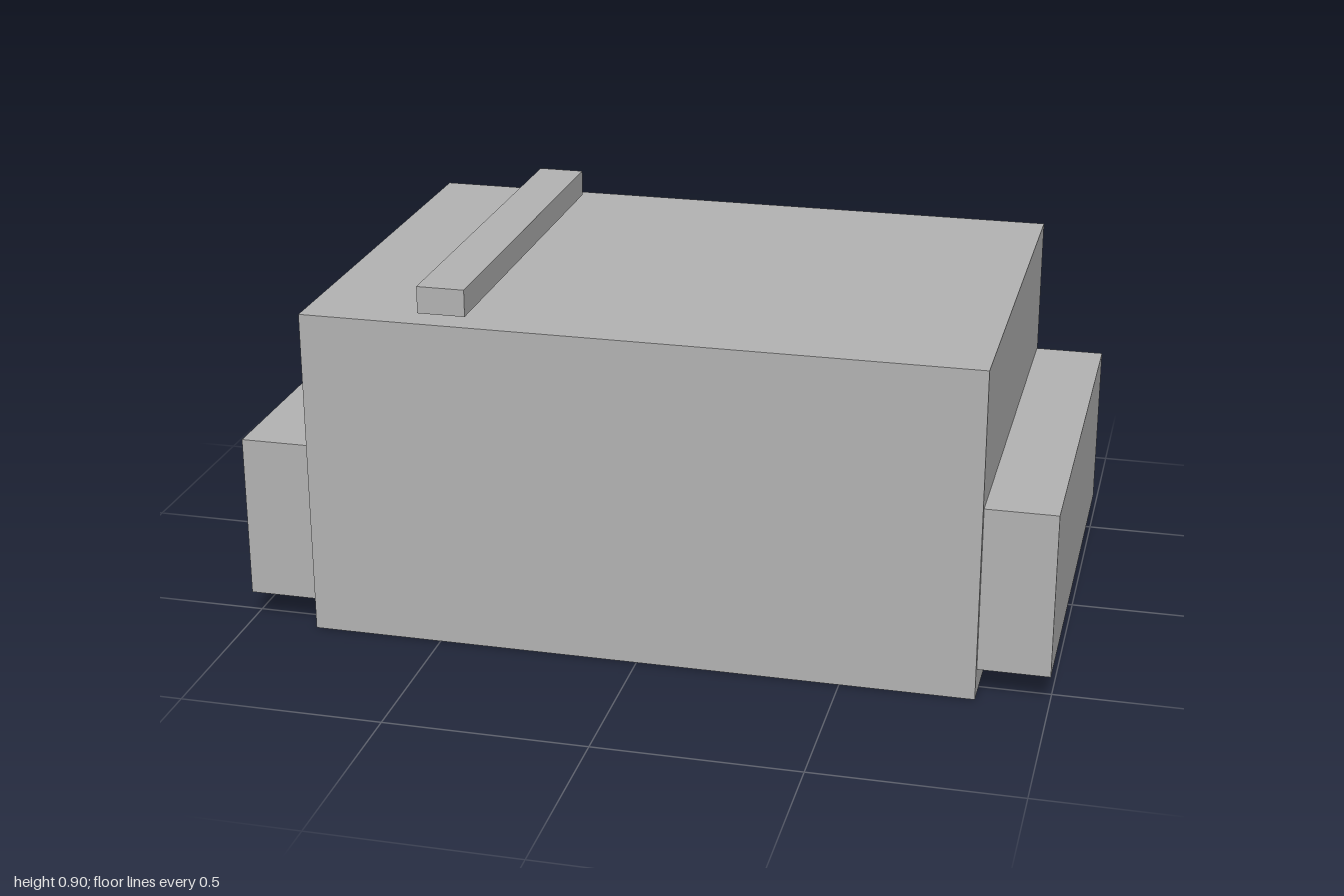
import * as THREE from 'three';

export function createModel() {
  const group = new THREE.Group();
  const grey = new THREE.MeshStandardMaterial({ color: 0xb2b2b2 });
  grey.name = 'grey';

  // Box given by its size, centre x and bottom height
  const addBox = (name, w, h, d, x, bottom) => {
    const mesh = new THREE.Mesh(new THREE.BoxGeometry(w, h, d), grey);
    mesh.name = name;
    mesh.position.set(x, bottom + h / 2, 0);
    group.add(mesh);
  };

  // Main block
  addBox('body', 1.652, 0.83, 1.138, 0, 0);

  // Terminals on both ends
  for (const side of [-1, 1]) {
    addBox(side > 0 ? 'leftTerminal' : 'rightTerminal', 0.174, 0.413, 1.106, side * 0.913, 0.072);
  }

  // Marker bar hovering just above the top
  addBox('markerBar', 0.118, 0.067, 1.034, -0.486, 0.838);

  return group;
}
